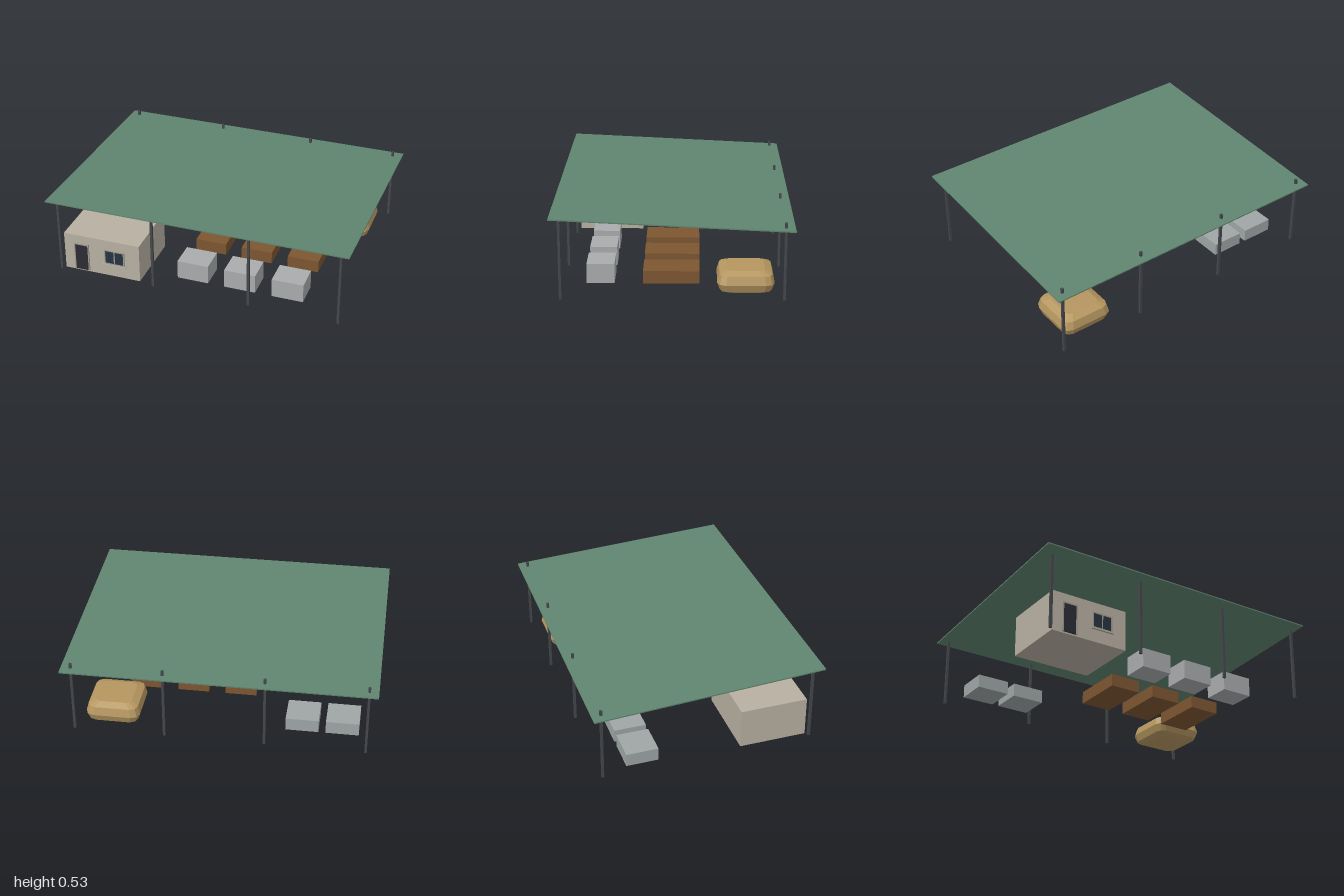
import * as THREE from 'three';

const mat = (color, flat = false) =>
  new THREE.MeshStandardMaterial({ color, flatShading: flat });

const mats = {
  roof: mat(0x5f8570), post: mat(0x44474b), wall: mat(0xb8b0a2), trim: mat(0xa09a90),
  door: mat(0x2b2c33), glass: mat(0x243442), grey: mat(0xa9abad), greyBack: mat(0x9fa5a6),
  wood: mat(0x7d5631), bale: mat(0xb5965f, true),
};

// Box given by its x, y and z extents
function box(name, material, [x0, x1], [y0, y1], [z0, z1]) {
  const mesh = new THREE.Mesh(new THREE.BoxGeometry(x1 - x0, y1 - y0, z1 - z0), material);
  mesh.position.set((x0 + x1) / 2, (y0 + y1) / 2, (z0 + z1) / 2);
  mesh.name = name;
  return mesh;
}

// Faceted cushion: rounded-square rings stacked by [half width, height]
function cushionGeometry(rings) {
  const plan = [];
  for (let q = 0; q < 4; q++) {
    const c = Math.round(Math.cos(q * Math.PI / 2)), s = Math.round(Math.sin(q * Math.PI / 2));
    for (const [x, z] of [[1, 0.7], [0.91, 0.91], [0.7, 1]]) plan.push([x * c - z * s, x * s + z * c]);
  }
  const n = plan.length, pos = [], index = [];
  for (const [h, y] of rings) for (const [x, z] of plan) pos.push(x * h, y, z * h);
  for (let r = 0; r < rings.length - 1; r++) {
    for (let i = 0; i < n; i++) {
      const a = r * n + i, b = r * n + (i + 1) % n;
      index.push(a, a + n, b, b, a + n, b + n);
    }
  }
  // flat bottom and top caps
  const top = (rings.length - 1) * n;
  for (let i = 1; i < n - 1; i++) {
    index.push(0, i, i + 1);
    index.push(top, top + i + 1, top + i);
  }
  const geo = new THREE.BufferGeometry();
  geo.setAttribute('position', new THREE.Float32BufferAttribute(pos, 3));
  geo.setIndex(index);
  const flat = geo.toNonIndexed();
  flat.computeVertexNormals();
  return flat;
}

function createHut() {
  const hut = new THREE.Group();
  hut.name = 'hut';
  const front = 0.665;
  hut.add(box('hutWalls', mats.wall, [-0.92, -0.395], [0, 0.265], [0.225, front]));

  // door with frame
  hut.add(box('door', mats.door, [-0.842, -0.755], [0.01, 0.198], [front, front + 0.006]));
  hut.add(box('doorFrameLeft', mats.trim, [-0.755, -0.747], [0.01, 0.206], [front, front + 0.009]));
  hut.add(box('doorFrameRight', mats.trim, [-0.85, -0.842], [0.01, 0.206], [front, front + 0.009]));
  hut.add(box('doorFrameTop', mats.trim, [-0.842, -0.755], [0.198, 0.206], [front, front + 0.009]));

  // window with two panes, frame and sill
  for (const x of [-0.6, -0.536])
    hut.add(box('windowPane', mats.glass, [x - 0.03, x + 0.03], [0.098, 0.19], [front, front + 0.005]));
  for (const x of [-0.634, -0.568, -0.502])
    hut.add(box('windowUpright', mats.trim, [x - 0.004, x + 0.004], [0.092, 0.197], [front, front + 0.008]));
  for (const y of [0.095, 0.193])
    hut.add(box('windowRail', mats.trim, [-0.638, -0.498], [y - 0.004, y + 0.004], [front, front + 0.008]));
  hut.add(box('windowSill', mats.wall, [-0.648, -0.488], [0.083, 0.091], [front, front + 0.014]));
  return hut;
}

export function createModel() {
  const model = new THREE.Group();
  model.name = 'openShelter';

  // sloping roof sheet, high at the front
  const slope = Math.atan2(0.07, 1.48);
  const roof = new THREE.Mesh(new THREE.BoxGeometry(2, 0.008, 1.483), mats.roof);
  roof.name = 'roof';
  roof.position.y = 0.4925;
  roof.rotation.x = -slope;
  model.add(roof);

  // two rows of posts; the rear ones pierce the roof
  for (const z of [-0.683, 0.683])
    for (const x of [-0.94, -0.295, 0.35, 0.937])
      model.add(box('post', mats.post, [x - 0.008, x + 0.008], [0, 0.496], [z - 0.008, z + 0.008]));

  model.add(createHut());

  // grey crates in front, with low wooden boxes behind them
  for (const x of [-0.18, 0.14, 0.46]) {
    model.add(box('frontCrate', mats.grey, [x, x + 0.21], [0, 0.127], [0.367, 0.543]));
    model.add(box('woodenBox', mats.wood, [x, x + 0.21], [0, 0.082], [-0.168, 0.188]));
  }

  // two low crates at the back
  for (const x of [-0.887, -0.627])
    model.add(box('rearCrate', mats.greyBack, [x, x + 0.214], [0, 0.086], [-0.516, -0.306]));

  // faceted bale in the back corner
  const bale = new THREE.Mesh(cushionGeometry([
    [0.118, 0], [0.16, 0.02], [0.177, 0.068], [0.163, 0.122], [0.118, 0.143],
  ]), mats.bale);
  bale.name = 'bale';
  bale.position.set(0.705, 0, -0.452);
  model.add(bale);

  return model;
}
